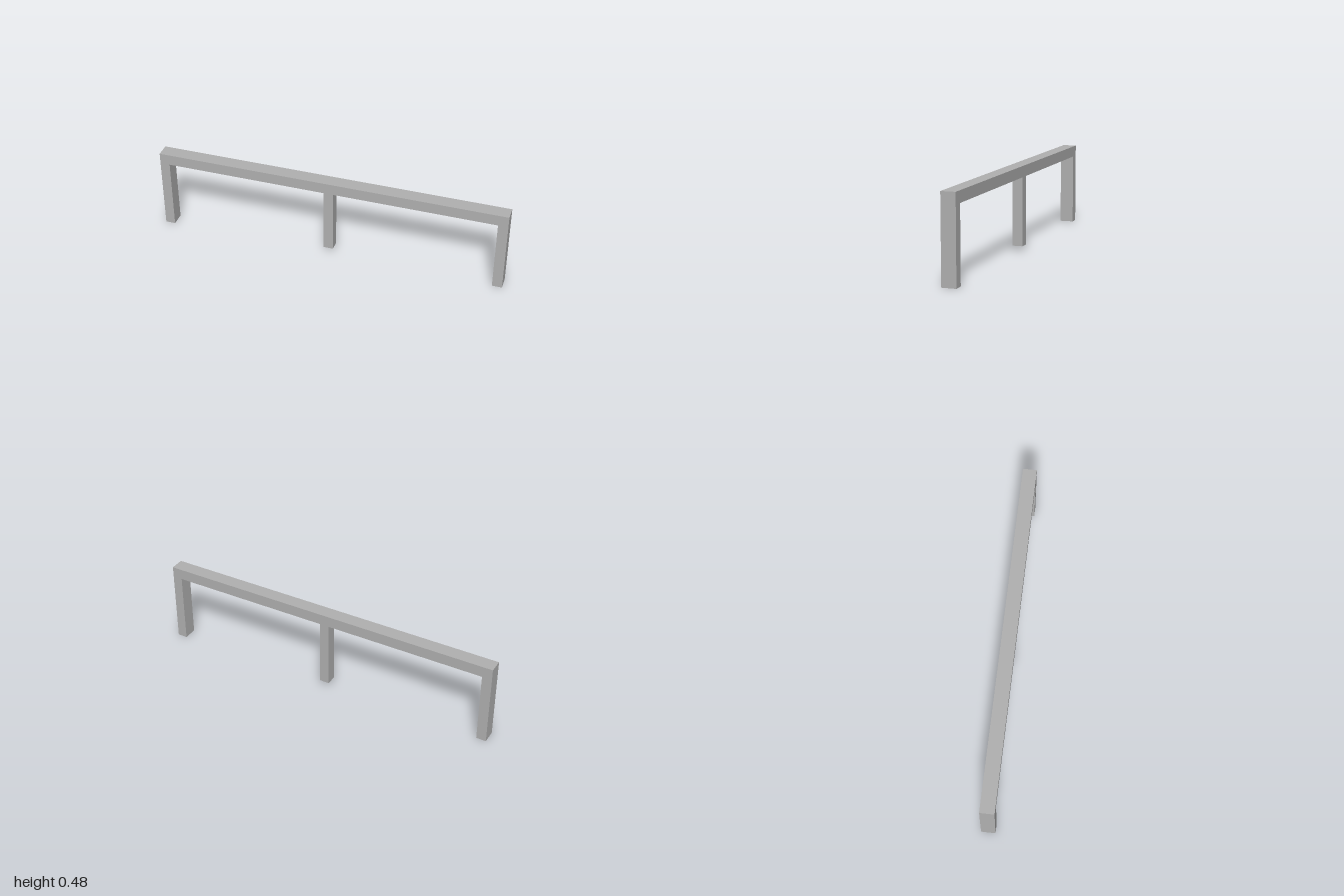
import * as THREE from 'three';

const gray = new THREE.MeshStandardMaterial({ color: 0xb0b0b0, side: THREE.DoubleSide });
gray.name = 'plainGray';

// Extrudes an outline from zBack to zFront, then removes the flat faces at the given heights to leave open ends
function openShell(name, outline, zBack, zFront, openHeights) {
  const shape = new THREE.Shape(outline.map(([x, y]) => new THREE.Vector2(x, y)));
  const solid = new THREE.ExtrudeGeometry(shape, { depth: zFront - zBack, bevelEnabled: false });
  const p = solid.getAttribute('position');
  const kept = [];
  for (let i = 0; i < p.count; i += 3) {
    const open = openHeights.some(h => [0, 1, 2].every(k => Math.abs(p.getY(i + k) - h) < 1e-4));
    if (open) continue;
    for (let k = 0; k < 3; k++) kept.push(p.getX(i + k), p.getY(i + k), p.getZ(i + k) + zBack);
  }
  const geometry = new THREE.BufferGeometry();
  geometry.setAttribute('position', new THREE.Float32BufferAttribute(kept, 3));
  geometry.computeVertexNormals();
  const mesh = new THREE.Mesh(geometry, gray);
  mesh.name = name;
  return mesh;
}

export function createModel() {
  const group = new THREE.Group();
  group.name = 'barrierFrame';
  const top = 0.477, beamBottom = 0.414, inner = 0.944, postBottom = 0.024;

  // Top beam and both end legs in one piece, hollow and open at the feet
  group.add(openShell('beamAndLegs', [
    [-1, 0], [-inner, 0], [-inner, beamBottom], [inner, beamBottom],
    [inner, 0], [1, 0], [1, top], [-1, top],
  ], -0.04, 0.04, [0]));

  // Shorter middle post, flush with the back of the beam
  group.add(openShell('middlePost', [
    [-0.033, postBottom], [0.022, postBottom], [0.022, beamBottom], [-0.033, beamBottom],
  ], -0.04, 0.021, [postBottom, beamBottom]));

  return group;
}
